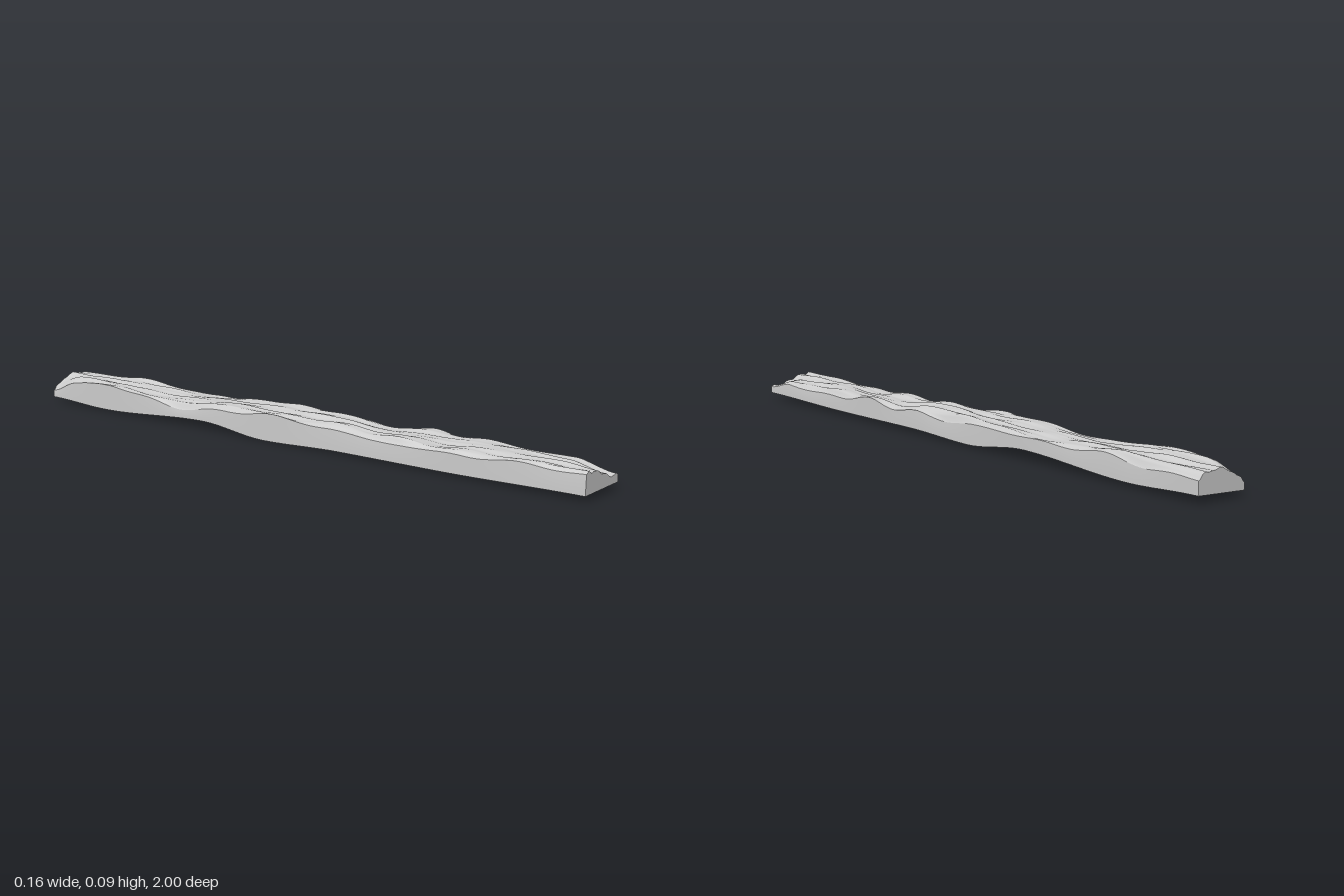
import * as THREE from 'three';

const HALF_WIDTH = 0.082;

// Height along the plank, eased between [z, y] stations
function along(stations, z) {
  let i = 0;
  while (i < stations.length - 2 && z > stations[i + 1][0]) i++;
  const [z0, y0] = stations[i], [z1, y1] = stations[i + 1];
  return THREE.MathUtils.lerp(y0, y1, THREE.MathUtils.smoothstep(z, z0, z1));
}

const UNDERSIDE = [[-1, 0.018], [-0.75, 0.008], [-0.33, 0.028], [-0.08, 0.004], [0.2, 0.012], [0.55, 0.011], [1, 0.017]];
const TOP = [[-1, 0.078], [-0.78, 0.083], [-0.45, 0.071], [-0.18, 0.081], [0.15, 0.081],
  [0.3, 0.07], [0.42, 0.076], [0.52, 0.071], [0.62, 0.076], [0.8, 0.073], [1, 0.072]];

const underside = (x, z) => along(UNDERSIDE, z) + 0.0035 * x / HALF_WIDTH;

// Weathered top: wandering grain ridges, shallow hollows and worn edges
function topSurface(x, z) {
  const drift = 0.012 * Math.sin(5 * z + 0.6) + 0.005 * Math.sin(13 * z);
  const grain = (u) => Math.abs(u - Math.round(u)) * 2 - 0.5;
  const ridges = 0.007 * grain((x + drift) / 0.05 + 0.2) * (0.6 + 0.4 * Math.sin(7 * z + 1))
    + 0.003 * grain((x - drift * 0.6) / 0.027) * Math.sin(9 * z + 20 * x);
  const hollows = 0.003 * Math.sin(11 * z + 35 * x) + 0.0015 * Math.sin(29 * z - 50 * x);
  const side = Math.sign(x);
  const wear = (0.010 + 0.007 * Math.sin(8 * z + 2 * side) + 0.004 * Math.sin(23 * z + side))
    * THREE.MathUtils.smoothstep(Math.abs(x), 0.068, HALF_WIDTH);
  // Two opposite corners are split away
  const { smoothstep } = THREE.MathUtils;
  const split = 0.032 * smoothstep(z, 0.88, 1) * smoothstep(x, -0.03, 0.06)
    + 0.022 * smoothstep(-z, 0.9, 1) * smoothstep(-x, 0, 0.07);
  return Math.min(0.09, along(TOP, z) + ridges + hollows - wear - split);
}

export function createModel() {
  const model = new THREE.Group();
  model.name = 'weatheredPlank';

  const geometry = new THREE.BoxGeometry(2 * HALF_WIDTH, 1, 2, 40, 4, 160);
  const p = geometry.attributes.position;
  for (let i = 0; i < p.count; i++) {
    const x = p.getX(i), z = p.getZ(i), t = p.getY(i) + 0.5;
    p.setY(i, THREE.MathUtils.lerp(underside(x, z), topSurface(x, z), t));
    // Sides lean in slightly where the upper edge is worn
    p.setX(i, x * (1 - 0.03 * t * t * (0.5 + 0.5 * Math.sin(9 * z + Math.sign(x)))));
  }
  geometry.computeVertexNormals();

  const plank = new THREE.Mesh(geometry, new THREE.MeshStandardMaterial({ color: 0xcccccc, roughness: 0.9 }));
  plank.name = 'plank';
  model.add(plank);
  return model;
}
